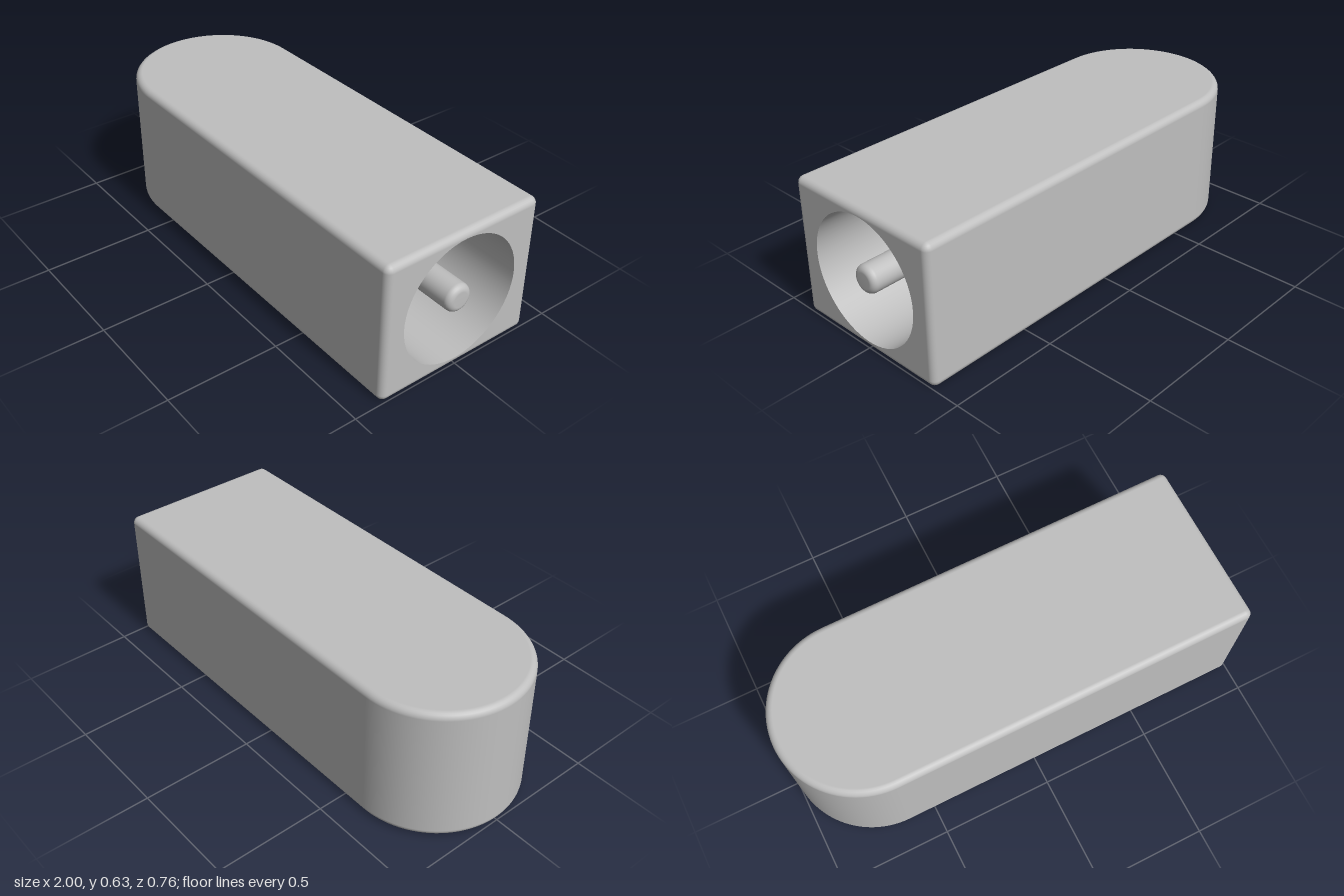
import * as THREE from 'three';

const LENGTH_END = 1, ARC_X = -0.622, HALF_W = 0.378, H = 0.631, F = 0.03;
const INNER_W = HALF_W - F, MID_Y = H / 2;

// Rounded outer wall: the inset plan outline is swept through a quarter-round at bottom and top.
function shellGeometry() {
  const outline = [];
  const arc = (cx, cz, r, from, to, n) => {
    for (let i = 0; i <= n; i++) {
      const a = from + (to - from) * i / n, nx = Math.cos(a), nz = Math.sin(a);
      outline.push({ x: cx + r * nx, z: cz + r * nz, nx, nz });
    }
  };
  const q = Math.PI / 2;
  arc(LENGTH_END - F, INNER_W, 0, 0, q, 6);
  arc(ARC_X, 0, INNER_W, q, 3 * q, 48);
  arc(LENGTH_END - F, -INNER_W, 0, 3 * q, 4 * q, 6);

  const layers = [];
  for (let i = 0; i <= 6; i++) layers.push({ y: F, t: -q + q * i / 6 });
  for (let i = 0; i <= 6; i++) layers.push({ y: H - F, t: q * i / 6 });

  const pos = [], nor = [], idx = [], n = outline.length;
  for (const { y, t } of layers) {
    const c = Math.cos(t), s = Math.sin(t);
    for (const p of outline) {
      pos.push(p.x + p.nx * c * F, y + s * F, p.z + p.nz * c * F);
      nor.push(p.nx * c, s, p.nz * c);
    }
  }
  for (let k = 0; k < layers.length - 1; k++) {
    for (let j = 0; j < n; j++) {
      if (k === 6 && j === n - 1) continue; // the flat end face is a separate plate with a hole
      const a = k * n + j, b = k * n + (j + 1) % n;
      idx.push(a, a + n, b, b, a + n, b + n);
    }
  }
  const g = new THREE.BufferGeometry();
  g.setAttribute('position', new THREE.Float32BufferAttribute(pos, 3));
  g.setAttribute('normal', new THREE.Float32BufferAttribute(nor, 3));
  g.setIndex(idx);
  return g;
}

// Flat plan of the top and bottom faces
function planShape() {
  const s = new THREE.Shape();
  s.moveTo(LENGTH_END - F, INNER_W);
  s.lineTo(ARC_X, INNER_W);
  s.absarc(ARC_X, 0, INNER_W, Math.PI / 2, 1.5 * Math.PI, false);
  s.lineTo(LENGTH_END - F, -INNER_W);
  s.closePath();
  return s;
}

function circleHole(x, y, r) {
  const p = new THREE.Path();
  p.absarc(x, y, r, 0, Math.PI * 2, true);
  return p;
}

export function createModel() {
  const model = new THREE.Group();
  const grey = new THREE.MeshStandardMaterial({ color: 0xbfbfbf, side: THREE.DoubleSide });
  grey.name = 'light grey';

  const add = (parent, name, geometry, x = 0, y = 0, z = 0) => {
    const m = new THREE.Mesh(geometry, grey);
    m.name = name;
    m.position.set(x, y, z);
    parent.add(m);
    return m;
  };
  const group = (name) => {
    const g = new THREE.Group();
    g.name = name;
    model.add(g);
    return g;
  };
  const tube = (r, h) => new THREE.CylinderGeometry(r, r, h, 64, 1, true);

  // Body
  const SOCKET_R = 0.284, GROOVE_R = 0.308, PLUG_R = 0.24, HOLE_R = 0.076;
  const body = group('body');
  add(body, 'roundedWall', shellGeometry());
  add(body, 'topFace', new THREE.ShapeGeometry(planShape(), 24).rotateX(-Math.PI / 2), 0, H, 0);

  const bottom = planShape();
  bottom.holes.push(circleHole(ARC_X, 0, GROOVE_R));
  add(body, 'bottomFace', new THREE.ShapeGeometry(bottom, 32).rotateX(Math.PI / 2));

  const hy = MID_Y - F;
  const end = new THREE.Shape();
  end.moveTo(-INNER_W, -hy);
  end.lineTo(INNER_W, -hy);
  end.lineTo(INNER_W, hy);
  end.lineTo(-INNER_W, hy);
  end.closePath();
  end.holes.push(circleHole(0, 0, SOCKET_R));
  add(body, 'endFace', new THREE.ShapeGeometry(end, 32).rotateY(Math.PI / 2), LENGTH_END, MID_Y, 0);

  // Round socket in the square end, with a pin along its axis
  const depth = 0.9;
  const socket = group('endSocket');
  add(socket, 'socketWall', tube(SOCKET_R, depth).rotateZ(-Math.PI / 2), LENGTH_END - depth / 2, MID_Y, 0);
  add(socket, 'socketFloor', new THREE.CircleGeometry(SOCKET_R, 64).rotateY(Math.PI / 2), LENGTH_END - depth, MID_Y, 0);
  const pinR = 0.062, pinF = 0.028, profile = [new THREE.Vector2(pinR, 0)];
  for (let i = 0; i <= 6; i++) {
    const t = Math.PI / 2 * i / 6;
    profile.push(new THREE.Vector2(pinR - pinF + pinF * Math.cos(t), depth - pinF + pinF * Math.sin(t)));
  }
  profile.push(new THREE.Vector2(0, depth));
  add(socket, 'pin', new THREE.LatheGeometry(profile, 40).rotateZ(-Math.PI / 2), LENGTH_END - depth, MID_Y, 0);

  // Ring groove under the round end, leaving a flush plug with a centre hole
  const grooveH = 0.5, holeH = 0.45;
  const groove = group('bottomGroove');
  add(groove, 'grooveWall', tube(GROOVE_R, grooveH), ARC_X, grooveH / 2, 0);
  add(groove, 'grooveFloor', new THREE.RingGeometry(PLUG_R, GROOVE_R, 64).rotateX(Math.PI / 2), ARC_X, grooveH, 0);
  add(groove, 'plugWall', tube(PLUG_R, grooveH), ARC_X, grooveH / 2, 0);
  add(groove, 'plugFace', new THREE.RingGeometry(HOLE_R, PLUG_R, 64).rotateX(Math.PI / 2), ARC_X, 0, 0);
  add(groove, 'plugHoleWall', tube(HOLE_R, holeH), ARC_X, holeH / 2, 0);
  add(groove, 'plugHoleFloor', new THREE.CircleGeometry(HOLE_R, 64).rotateX(Math.PI / 2), ARC_X, holeH, 0);

  return model;
}
